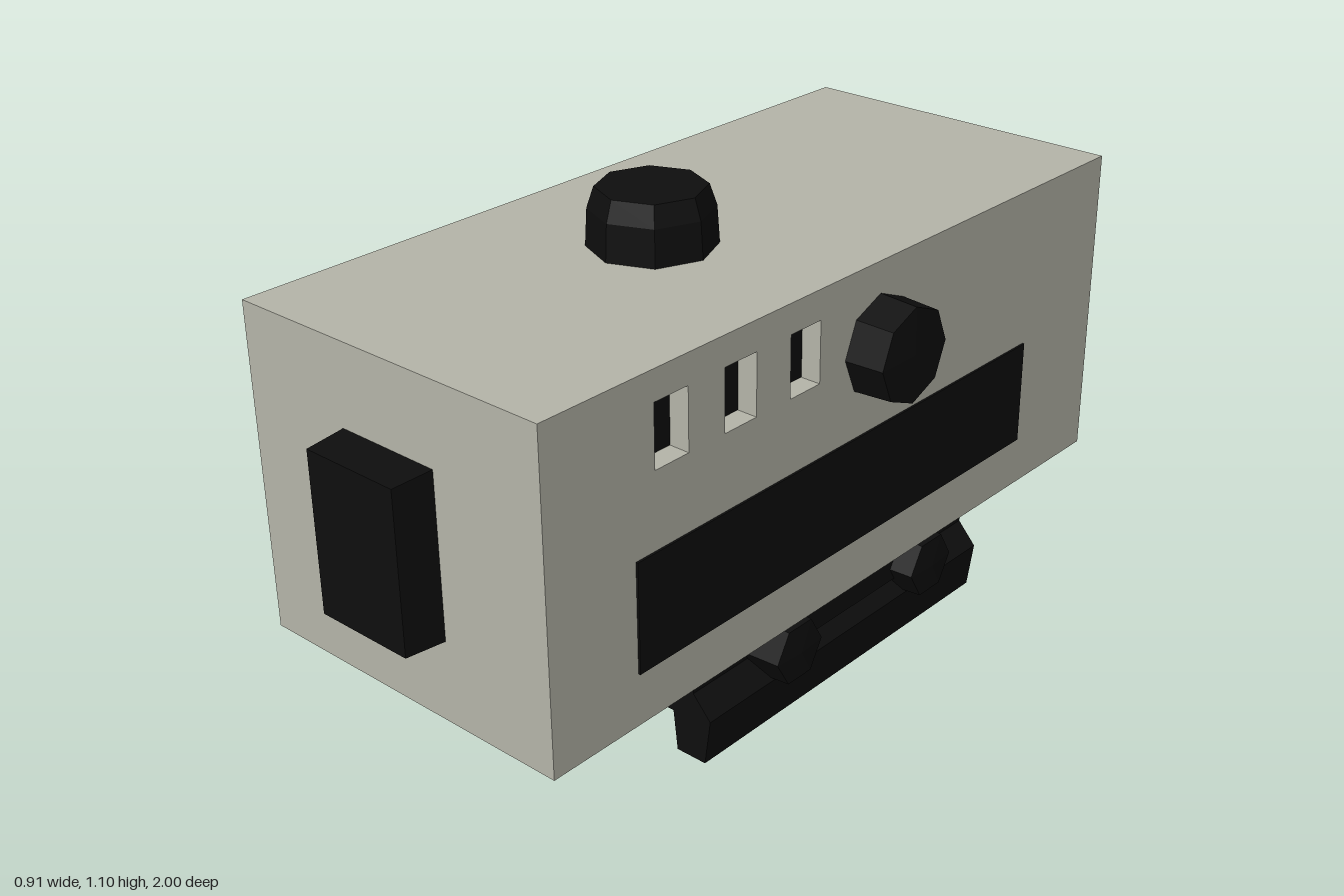
import * as THREE from 'three';

export function createModel() {
  const root = new THREE.Group();
  const mat = (name, color) => {
    const m = new THREE.MeshStandardMaterial({ color, flatShading: true });
    m.name = name;
    return m;
  };
  const grey = mat('casing grey', 0xb6b6aa);
  const black = mat('matte black', 0x0e0e0e);
  const red = mat('lens red', 0xb81c1e);

  const add = (name, geo, material, parent = root) => {
    const mesh = new THREE.Mesh(geo, material);
    mesh.name = name;
    parent.add(mesh);
    return mesh;
  };
  // Box given by its limits on each axis
  const box = (name, [x0, x1], [y0, y1], [z0, z1], material) => {
    const mesh = add(name, new THREE.BoxGeometry(x1 - x0, y1 - y0, z1 - z0), material);
    mesh.position.set((x0 + x1) / 2, (y0 + y1) / 2, (z0 + z1) / 2);
    return mesh;
  };
  // Faceted solid turned from [radius, height] points, pointing along a direction
  const turned = (name, points, sides, pos, dir, material = black) => {
    const geo = new THREE.LatheGeometry(points.map(p => new THREE.Vector2(...p)), sides);
    const mesh = add(name, geo, material);
    mesh.position.set(...pos);
    mesh.quaternion.setFromUnitVectors(new THREE.Vector3(0, 1, 0), new THREE.Vector3(...dir));
    return mesh;
  };

  // Casing: solid core plus a side wall pierced by three slots
  box('casing', [-0.43, 0.31], [0.26, 0.98], [-0.85, 0.91], grey);
  const rect = (path, x0, x1, y0, y1) =>
    path.moveTo(x0, y0).lineTo(x1, y0).lineTo(x1, y1).lineTo(x0, y1).closePath();
  const wall = rect(new THREE.Shape(), -0.91, 0.85, 0.26, 0.98);
  for (const z of [0.585, 0.395, 0.205]) {
    wall.holes.push(rect(new THREE.Path(), -z - 0.045, -z + 0.045, 0.78, 0.915));
    box('slotFloor', [0.309, 0.316], [0.782, 0.913], [z - 0.043, z + 0.043], black);
  }
  const side = add('slottedWall',
    new THREE.ExtrudeGeometry(wall, { depth: 0.05, bevelEnabled: false }), grey);
  side.rotation.y = Math.PI / 2;
  side.position.x = 0.31;

  // Side panels
  box('rightPanel', [0.358, 0.365], [0.375, 0.615], [-0.57, 0.685], black);
  const leftPanel = box('leftPanel', [-0.453, -0.425], [0.36, 0.61], [-0.57, 0.69], black);
  leftPanel.rotation.z = 0.04;

  // Front window block, slightly narrower at its outer face
  const front = box('frontWindow', [-0.16, 0.087], [0.44, 0.80], [0.9, 1.0], black);
  const fp = front.geometry.attributes.position;
  for (let i = 0; i < fp.count; i++) {
    if (fp.getZ(i) > 0) fp.setXY(i, fp.getX(i) * 0.94, fp.getY(i) * 0.97);
  }

  // Adjustment turrets on top and on the side
  turned('topTurret', [[0.135, 0], [0.13, 0.08], [0.115, 0.125], [0, 0.127]], 8,
    [-0.04, 0.98, 0.2], [0, 1, 0]);
  turned('sideTurret', [[0.11, 0], [0.105, 0.088], [0, 0.09]], 8,
    [0.36, 0.80, -0.03], [1, 0, 0]);

  // Rear battery cap with a raised rim, and rear eyepiece with a red lens
  turned('batteryCap', [[0.155, 0], [0.153, 0.05], [0.14, 0.08], [0.12, 0.085],
    [0.115, 0.1], [0.1, 0.1], [0.095, 0.085], [0, 0.085]], 12,
  [0.125, 0.72, -0.85], [0, 0, -1]);
  turned('eyepiece', [[0.13, 0], [0.125, 0.04], [0.11, 0.12], [0.1, 0.145],
    [0.085, 0.145], [0.08, 0.135], [0, 0.135]], 10,
  [-0.2, 0.69, -0.85], [0, 0, -1]);
  turned('redLens', [[0.08, 0], [0.075, 0.006], [0, 0.006]], 10,
    [-0.2, 0.69, -0.985], [0, 0, -1], red);

  // Mount: bridge and splayed clamp jaws in one profile
  const jaws = new THREE.Shape([
    [-0.35, 0.26], [-0.345, 0.15], [-0.375, 0.003], [-0.30, 0.003], [-0.29, 0.095],
    [0.215, 0.095], [0.225, 0.003], [0.30, 0.003], [0.315, 0.11], [0.27, 0.16], [0.27, 0.26],
  ].map(p => new THREE.Vector2(...p)));
  const mount = add('railMount',
    new THREE.ExtrudeGeometry(jaws, { depth: 0.93, bevelEnabled: false }), black);
  mount.position.z = -0.495;

  // Clamp nuts and the bar joining them
  for (const z of [0.2, -0.26]) {
    turned('clampNut', [[0.078, 0], [0.072, 0.085], [0, 0.09]], 6,
      [0.27, 0.18, z], [1, 0, 0]);
  }
  box('clampBar', [0.26, 0.30], [0.15, 0.21], [-0.26, 0.2], black);

  return root;
}
